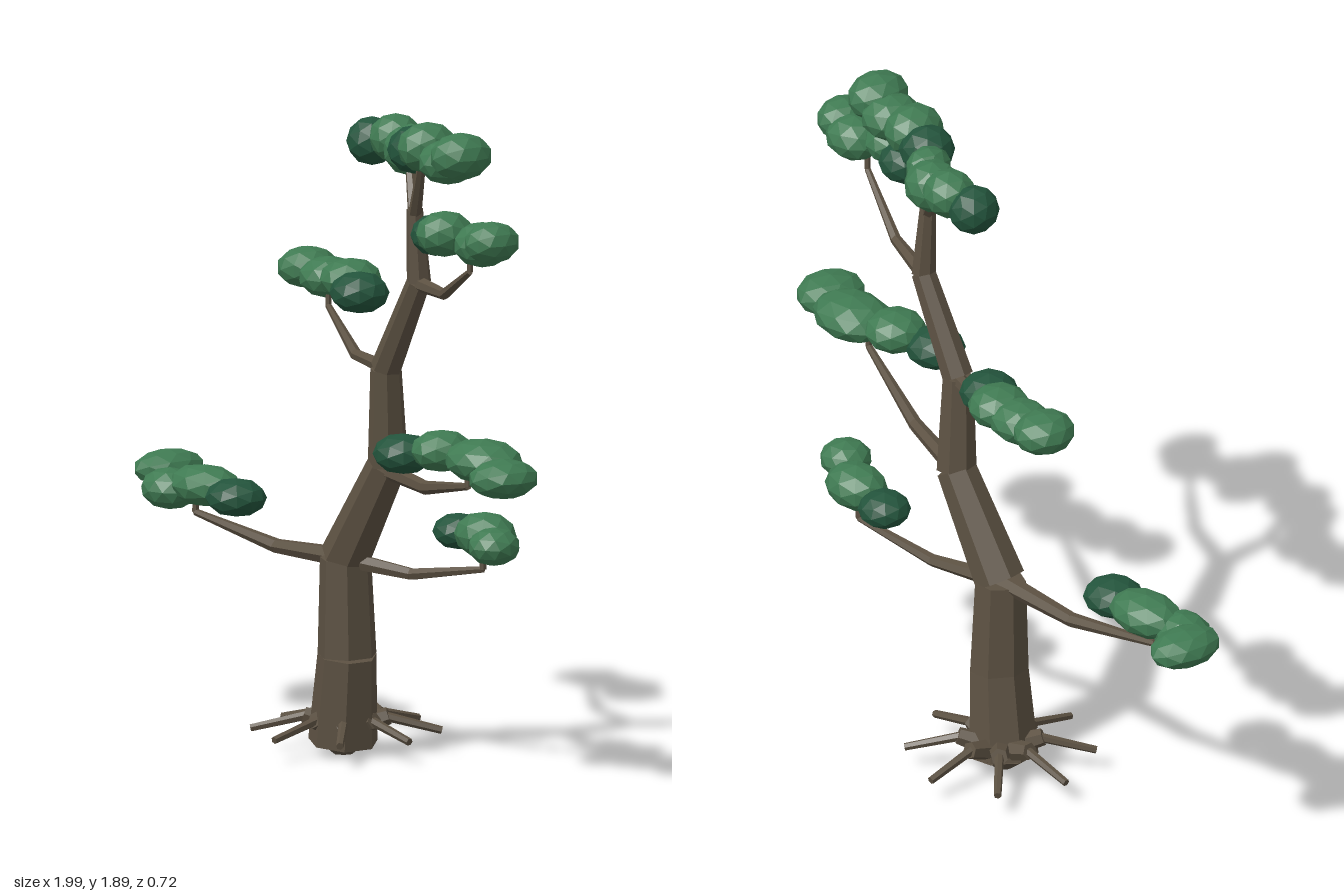
import * as THREE from 'three';

const bark = new THREE.MeshStandardMaterial({ color: 0x5c5142, flatShading: true, name: 'bark' });
const leaf = new THREE.MeshStandardMaterial({ color: 0x3f7a52, flatShading: true, name: 'leaf green' });
const darkLeaf = new THREE.MeshStandardMaterial({ color: 0x23543c, flatShading: true, name: 'dark leaf green' });

// Tapered faceted limb between two points
function limb(a, b, r0, r1, sides, name) {
  const from = new THREE.Vector3(...a), to = new THREE.Vector3(...b);
  const dir = to.clone().sub(from);
  const mesh = new THREE.Mesh(new THREE.CylinderGeometry(r1, r0, dir.length(), sides), bark);
  mesh.position.copy(from).add(to).multiplyScalar(0.5);
  mesh.quaternion.setFromUnitVectors(new THREE.Vector3(0, 1, 0), dir.normalize());
  mesh.name = name;
  return mesh;
}

// Chain of limbs; each point is [x, y, z, radius]
function chain(points, sides, name) {
  const group = new THREE.Group();
  group.name = name;
  for (let i = 0; i < points.length - 1; i++) {
    const p = points[i], q = points[i + 1];
    group.add(limb(p.slice(0, 3), q.slice(0, 3), p[3], q[3], sides, name + 'Segment'));
  }
  return group;
}

// Row of squashed leaf balls, the first one dark; each is [x, y, z, rx, ry, rz]
function foliage(balls, name) {
  const group = new THREE.Group();
  group.name = name;
  balls.forEach(([x, y, z, rx, ry, rz], i) => {
    const geo = new THREE.IcosahedronGeometry(1, 1);
    geo.rotateY(i * 0.9 + 0.3);
    geo.scale(rx, ry, rz);
    const mesh = new THREE.Mesh(geo, i === 0 ? darkLeaf : leaf);
    mesh.position.set(x, y, z);
    mesh.name = 'leafBall';
    group.add(mesh);
  });
  return group;
}

export function createModel() {
  const tree = new THREE.Group();
  tree.name = 'tree';

  // Bent trunk
  tree.add(chain([
    [-0.145, 0.035, -0.065, 0.1], [-0.11, 0.29, -0.05, 0.085], [-0.105, 0.57, -0.04, 0.074],
    [0.07, 0.86, -0.045, 0.058], [0.09, 1.14, -0.02, 0.045], [0.24, 1.41, -0.012, 0.035],
    [0.235, 1.62, 0, 0.024],
  ], 7, 'trunk'));

  // Pointed foot and ring of roots
  const foot = limb([-0.15, 0, -0.07], [-0.15, 0.05, -0.07], 0.03, 0.095, 7, 'foot');
  tree.add(foot);
  for (let i = 0; i < 8; i++) {
    const a = i * Math.PI / 4, c = Math.cos(a), s = Math.sin(a);
    const at = (r, y) => [-0.16 + r * c, y, -0.09 + r * s];
    tree.add(chain([[...at(0.03, 0.075), 0.034], [...at(0.12, 0.105), 0.025]], 6, 'rootKnob'));
    tree.add(chain([[...at(0.09, 0.108), 0.014], [...at(0.27, 0.065), 0.011]], 6, 'root'));
  }

  // Branches
  const branches = {
    lowerRightBranch: [[-0.1, 0.57, -0.04, 0.03], [-0.4, 0.562, -0.04, 0.021], [-0.73, 0.615, -0.025, 0.01], [-0.73, 0.67, -0.025, 0.009]],
    lowerLeftBranch: [[-0.1, 0.565, -0.04, 0.026], [0.13, 0.55, -0.08, 0.018], [0.39, 0.595, -0.12, 0.01], [0.39, 0.67, -0.12, 0.009]],
    middleLeftBranch: [[0.07, 0.845, -0.04, 0.026], [0.35, 0.845, 0.06, 0.02], [0.68, 0.91, 0.19, 0.01], [0.68, 0.97, 0.19, 0.009]],
    middleRightBranch: [[0.09, 1.14, -0.025, 0.022], [-0.13, 1.14, -0.1, 0.017], [-0.385, 1.23, -0.22, 0.009], [-0.385, 1.29, -0.22, 0.008]],
    upperLeftBranch: [[0.245, 1.405, -0.01, 0.022], [0.43, 1.41, 0.06, 0.016], [0.642, 1.515, 0.15, 0.009], [0.642, 1.59, 0.15, 0.008]],
    rightFork: [[0.235, 1.6, 0, 0.02], [0.145, 1.73, -0.06, 0.013]],
    leftFork: [[0.235, 1.6, 0, 0.02], [0.325, 1.755, 0.055, 0.013]],
  };
  for (const name in branches) tree.add(chain(branches[name], 6, name));

  // Foliage pads
  const pads = {
    lowerRightFoliage: [[-0.54, 0.685, -0.01, 0.09, 0.055, 0.085], [-0.69, 0.697, -0.025, 0.125, 0.06, 0.085],
      [-0.81, 0.675, 0, 0.09, 0.06, 0.08], [-0.918, 0.71, -0.09, 0.082, 0.052, 0.115]],
    lowerLeftFoliage: [[0.265, 0.685, -0.14, 0.076, 0.052, 0.075], [0.4, 0.695, -0.12, 0.1, 0.066, 0.08],
      [0.54, 0.692, -0.03, 0.075, 0.055, 0.075]],
    middleLeftFoliage: [[0.46, 0.98, 0.24, 0.088, 0.058, 0.085], [0.58, 1.0, 0.2, 0.09, 0.06, 0.09],
      [0.735, 0.99, 0.18, 0.13, 0.063, 0.1], [0.9, 0.97, 0.25, 0.093, 0.057, 0.105]],
    middleRightFoliage: [[-0.23, 1.292, -0.2, 0.085, 0.06, 0.085], [-0.33, 1.31, -0.255, 0.09, 0.06, 0.09],
      [-0.425, 1.302, -0.26, 0.1, 0.06, 0.085], [-0.53, 1.315, -0.27, 0.085, 0.06, 0.092]],
    upperLeftFoliage: [[0.495, 1.6, 0.15, 0.072, 0.06, 0.07], [0.58, 1.62, 0.19, 0.08, 0.066, 0.085],
      [0.695, 1.6, 0.15, 0.09, 0.065, 0.08], [0.77, 1.62, 0.18, 0.072, 0.06, 0.085]],
    topRightFoliage: [[-0.05, 1.765, -0.09, 0.07, 0.07, 0.075], [0.04, 1.785, -0.1, 0.08, 0.07, 0.075],
      [0.13, 1.765, -0.08, 0.085, 0.075, 0.08], [0.19, 1.785, -0.04, 0.06, 0.06, 0.07]],
    topLeftFoliage: [[0.255, 1.795, 0.015, 0.08, 0.07, 0.08], [0.335, 1.815, 0.04, 0.082, 0.073, 0.09],
      [0.46, 1.795, 0.07, 0.085, 0.065, 0.09], [0.535, 1.823, 0.09, 0.08, 0.068, 0.095]],
  };
  for (const name in pads) tree.add(foliage(pads[name], name));

  return tree;
}
